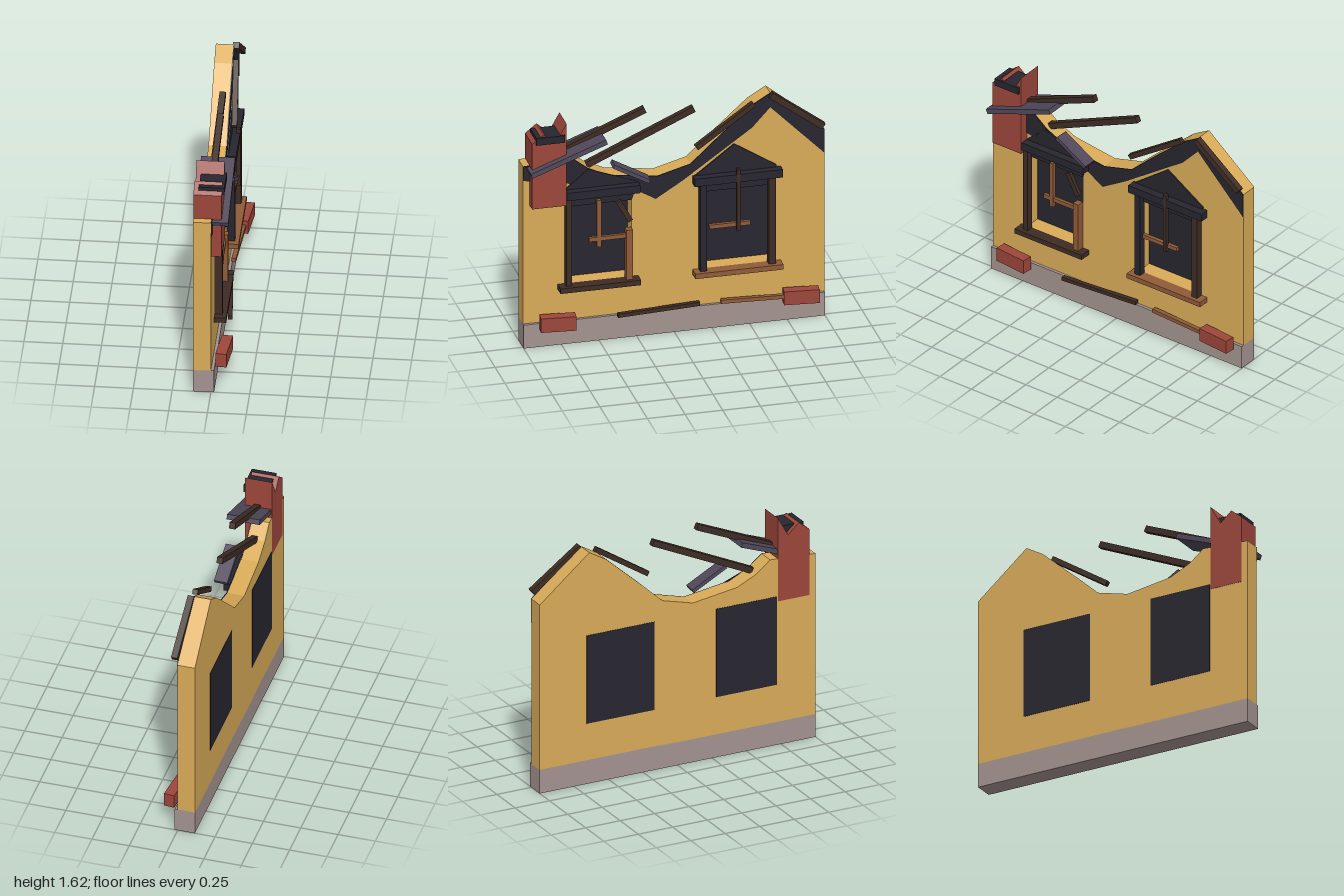
import * as THREE from 'three';

const COLORS = {
  plaster: 0xd9ab58, stone: 0xa39390, darkWood: 0x3e2c24, wood: 0x8f5b38,
  brick: 0x9c463b, slate: 0x50485a, char: 0x27252e,
};
const mats = {};
for (const key in COLORS) {
  mats[key] = new THREE.MeshStandardMaterial({ color: COLORS[key], flatShading: true });
}

export function createModel() {
  const model = new THREE.Group();

  function add(name, geometry, mat) {
    const mesh = new THREE.Mesh(geometry, mats[mat]);
    mesh.name = name;
    model.add(mesh);
    return mesh;
  }

  // Box given by its limits on each axis
  function box(name, mat, [x0, x1], [y0, y1], [z0, z1]) {
    const mesh = add(name, new THREE.BoxGeometry(x1 - x0, y1 - y0, Math.abs(z1 - z0)), mat);
    mesh.position.set((x0 + x1) / 2, (y0 + y1) / 2, (z0 + z1) / 2);
    return mesh;
  }

  // Straight beam between two points
  function beam(name, mat, a, b, width, thick) {
    const p = new THREE.Vector3(...a), q = new THREE.Vector3(...b);
    const mesh = add(name, new THREE.BoxGeometry(width, thick, p.distanceTo(q)), mat);
    mesh.position.copy(p).add(q).multiplyScalar(0.5);
    mesh.lookAt(q);
    return mesh;
  }

  // Outline of [z, y] points, extruded along x
  const toPoints = (pts) => pts.map(([z, y]) => new THREE.Vector2(-z, y));
  function slab(name, mat, pts, x0, x1, holes = []) {
    const shape = new THREE.Shape(toPoints(pts));
    holes.forEach((h) => shape.holes.push(new THREE.Path(toPoints(h))));
    const geo = new THREE.ExtrudeGeometry(shape, { depth: x1 - x0, bevelEnabled: false });
    geo.rotateY(Math.PI / 2).translate(x0, 0, 0);
    return add(name, geo, mat);
  }

  const BACK = -0.115;
  const windows = [[0.72, 0.28], [-0.17, -0.66]];
  const rect = ([z0, z1], y0, y1) => [[z0, y0], [z1, y0], [z1, y1], [z0, y1]];

  // Broken wall with two window openings on a stone base
  const brokenTop = [
    [1, 1.28], [0.67, 1.3], [0.57, 1.22], [0.43, 1.155], [0.11, 1.11],
    [-0.11, 1.17], [-0.25, 1.3], [-0.52, 1.54], [-0.64, 1.61], [-1, 1.315],
  ];
  slab('wall', 'plaster', [[-1, 0.16], [1, 0.16], ...brokenTop], BACK, 0,
    windows.map((w) => rect(w, 0.42, 1.035)));
  box('stoneBase', 'stone', [BACK, 0.02], [0, 0.165], [-1, 1]);

  // Scorched band along the broken edge, and burn marks over the windows
  slab('scorchedEdge', 'char', [
    ...brokenTop, [-1, 1.145], [-0.64, 1.51], [-0.52, 1.38], [-0.06, 1.06],
    [0.12, 0.95], [0.27, 1.04], [0.72, 1.13], [1, 1.18],
  ], -0.002, 0.006);
  slab('leftBurnMark', 'char',
    [[0.72, 0.965], [0.72, 1.09], [0.57, 1.215], [0.24, 1.09], [0.28, 0.965]], 0, 0.01);
  slab('rightBurnMark', 'char',
    [[-0.17, 0.965], [-0.14, 1.085], [-0.4, 1.28], [-0.68, 1.1], [-0.66, 0.965]], 0, 0.01);

  // Dark panes at the back of the openings
  windows.forEach((w) => box('windowPane', 'char', [BACK - 0.002, BACK + 0.012], [0.42, 1.035], w));

  // Window surrounds
  box('leftSill', 'darkWood', [0, 0.078], [0.385, 0.42], [0.235, 0.77]);
  box('rightSill', 'wood', [0, 0.078], [0.385, 0.42], [-0.71, -0.125]);
  box('leftLintel', 'char', [0, 0.062], [1.03, 1.085], [0.235, 0.725]);
  box('rightLintel', 'char', [0, 0.062], [1.03, 1.085], [-0.71, -0.125]);
  box('leftWindowPost', 'darkWood', [0, 0.05], [0.42, 1.03], [0.688, 0.725]);
  box('brokenWindowPost', 'wood', [0, 0.05], [0.42, 0.77], [0.283, 0.325]);
  box('charredWindowPost', 'char', [0, 0.05], [0.42, 1.03], [-0.21, -0.165]);
  box('rightWindowPost', 'darkWood', [0, 0.05], [0.42, 1.03], [-0.665, -0.62]);

  // Broken glazing bars
  box('leftUprightBar', 'wood', [0.015, 0.04], [0.67, 1.0], [0.49, 0.518]);
  box('leftCrossBar', 'wood', [0.015, 0.038], [0.712, 0.74], [0.325, 0.57]);
  beam('hangingSplinter', 'darkWood', [0.03, 0.975, 0.375], [0.03, 0.83, 0.295], 0.025, 0.035);
  box('rightUprightBar', 'darkWood', [0.035, 0.064], [0.69, 1.12], [-0.428, -0.404]);
  box('rightCrossBar', 'wood', [0.02, 0.045], [0.712, 0.74], [-0.5, -0.225]);

  // Chimney with a jagged top and its fallen cap
  slab('chimney', 'brick', [
    [0.955, 1], [0.955, 1.46], [0.88, 1.52], [0.8, 1.45], [0.727, 1.58], [0.727, 1],
  ], BACK - 0.002, 0.065);
  box('chimneyCap', 'char', [-0.085, 0.08], [1.455, 1.505], [0.74, 0.93]);

  // Roof timbers
  beam('upperRafter', 'darkWood', [-0.01, 1.59, 0.19], [-0.02, 1.36, 0.73], 0.04, 0.042);
  beam('middleRafter', 'darkWood', [-0.025, 1.55, -0.14], [-0.045, 1.225, 0.57], 0.04, 0.042);
  beam('slopeRafter', 'darkWood', [0.05, 1.305, -0.135], [0.025, 1.56, -0.525], 0.035, 0.034);
  beam('gableRafter', 'darkWood', [0.015, 1.605, -0.64], [0.025, 1.35, -0.985], 0.042, 0.042);

  // Loose roof slabs
  beam('largeRoofSlab', 'slate', [0, 1.255, 0.97], [0, 1.44, 0.47], 0.22, 0.034);
  beam('smallRoofSlab', 'slate', [0.055, 1.255, 0.42], [0.065, 1.125, 0.185], 0.09, 0.026);

  // Rubble along the base
  beam('darkPlank', 'darkWood', [0.07, 0.187, 0.39], [0.025, 0.187, -0.165], 0.03, 0.026);
  beam('lightPlank', 'wood', [0.03, 0.187, -0.305], [0.06, 0.187, -0.76], 0.03, 0.026);
  beam('leftFallenBrick', 'brick', [0.055, 0.18, 0.9], [0.078, 0.18, 0.67], 0.072, 0.098);
  beam('rightFallenBrick', 'brick', [0.052, 0.182, -0.715], [0.075, 0.182, -0.945], 0.07, 0.094);

  return model;
}
